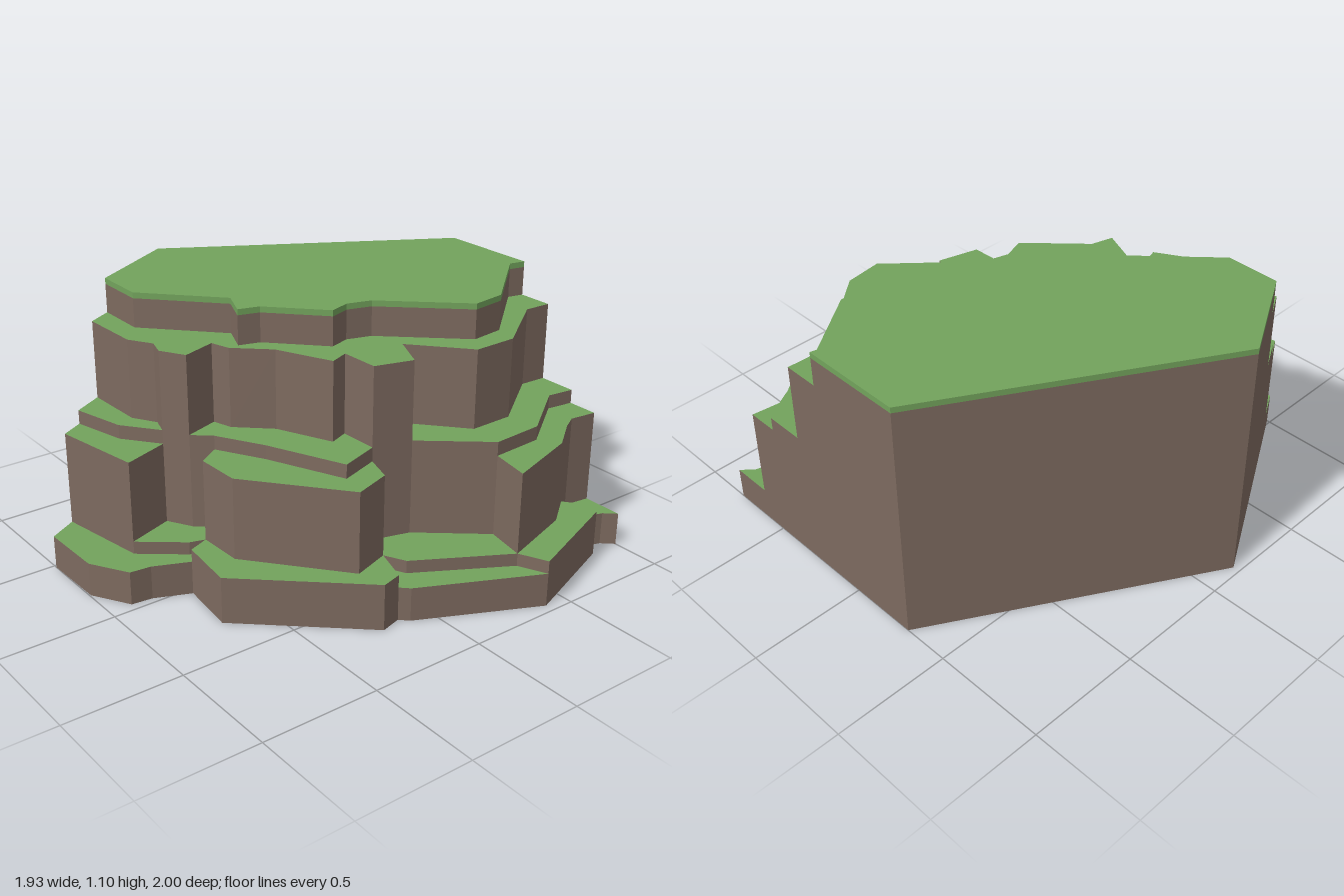
import * as THREE from 'three';

const rock = new THREE.MeshStandardMaterial({ color: 0x7d6a5f, flatShading: true, side: THREE.DoubleSide });
const grass = new THREE.MeshStandardMaterial({ color: 0x72a35c, flatShading: true, side: THREE.DoubleSide });

// Straight outer sides shared by all terraces
const backCorners = [[-0.3, -1], [-0.97, 0.155]];

// Points (x, z) where neighbouring terraces meet
const leftBlock = [-0.16, 0.81];
const gullyLeft = [[-0.23, 0.61], [-0.125, 0.55]];
const gullyFoot = [-0.06, 0.475];
const notch = [0, 0.57];
const buttress = [[0.035, 0.66], [0.29, 0.69], [0.71, 0.225], [0.685, 0.135]];
const bay = [0.53, 0.085];
const gullyRight = [[0.405, 0.045], [0.45, -0.12]];
const spurRoot = [0.665, -0.38];
const spurTip = [0.84, -0.345];
const spur = [[0.96, -0.4], [0.785, -0.86], [0.72, -0.88]];
const backNotch = [[0.63, -0.81], [0.59, -0.88]];

// An edge starts on the sloping left side at x = left and ends on the back side at x = back
const edgeLine = (left, points, back) => [[left, 0.155 + (left + 0.97) * 1.742], ...points, [back, -1]];

// Terrace edges from the bottom up, each with the height of its top
const base = edgeLine(-0.485, [[-0.2, 0.995], [-0.04, 0.9], [-0.03, 0.81], ...buttress, [0.72, 0.1], ...spur,
  [0.74, -0.95]], 0.785);
const step = edgeLine(-0.555, [leftBlock, [-0.02, 0.635], notch, ...buttress, bay, [0.62, 0.04], spurTip, ...spur,
  ...backNotch], 0.605);
const lowerCliff = edgeLine(-0.555, [leftBlock, ...gullyLeft, gullyFoot, notch, [0.2, 0.565], [0.585, 0.25], bay,
  ...gullyRight, spurRoot, spurTip, [0.735, -0.67], ...backNotch], 0.605);
const shelf = edgeLine(-0.61, [[-0.38, 0.725], ...gullyLeft, gullyFoot, [0.135, 0.365], [0.465, 0.22],
  ...gullyRight, spurRoot, [0.65, -0.61], [0.455, -0.88]], 0.47);
const upperCliff = edgeLine(-0.685, [[-0.41, 0.645], [-0.31, 0.585], ...gullyLeft, [-0.175, 0.4], [-0.09, 0.375],
  [0.035, 0.24], [0.27, 0.135], [0.235, 0.05], ...gullyRight, [0.29, -0.195], [0.515, -0.39], [0.51, -0.585],
  [0.295, -0.88]], 0.3);
const crown = edgeLine(-0.745, [[-0.515, 0.55], [-0.22, 0.275], [-0.09, 0.33], [-0.065, 0.24], [0.145, 0.04],
  [0.115, -0.05], [0.145, -0.155], [0.425, -0.46], [0.405, -0.61], [0.13, -0.93]], 0.145);
const terraces = [
  { name: 'base', edge: base, top: 0.145 },
  { name: 'step', edge: step, top: 0.2 },
  { name: 'lowerCliff', edge: lowerCliff, top: 0.55 },
  { name: 'shelf', edge: shelf, top: 0.61 },
  { name: 'upperCliff', edge: upperCliff, top: 0.95 },
  { name: 'crown', edge: crown, top: 1.075 },
];

// Vertical wall around a closed outline
function wall(edge, y0, y1) {
  const ring = [...edge, ...backCorners];
  const pos = [];
  ring.forEach(([ax, az], i) => {
    const [bx, bz] = ring[(i + 1) % ring.length];
    pos.push(ax, y0, az, bx, y0, bz, bx, y1, bz, ax, y0, az, bx, y1, bz, ax, y1, az);
  });
  const g = new THREE.BufferGeometry();
  g.setAttribute('position', new THREE.Float32BufferAttribute(pos, 3));
  g.computeVertexNormals();
  return g;
}

// Flat upward-facing polygon at height y
function flat(points, y) {
  const shape = new THREE.Shape(points.map(([x, z]) => new THREE.Vector2(x, -z)));
  return new THREE.ShapeGeometry(shape).rotateX(-Math.PI / 2).translate(0, y, 0);
}

// Ledges between two edges, split wherever the edges touch
function ledges(outer, inner) {
  const pockets = [];
  let o0 = 0, i0 = 0;
  const close = (o1, i1) => {
    const loop = [...outer.slice(o0, o1 + 1), ...inner.slice(i0, i1 + 1).reverse()];
    const unique = [...new Map(loop.map((p) => [p.join(), p])).values()];
    if (unique.length > 2) pockets.push(unique);
    o0 = o1;
    i0 = i1;
  };
  outer.forEach((p, o) => {
    const i = inner.findIndex((q) => q[0] === p[0] && q[1] === p[1]);
    if (i >= 0) close(o, i);
  });
  close(outer.length - 1, inner.length - 1);
  return pockets;
}

export function createModel() {
  const model = new THREE.Group();
  model.name = 'terracedCliff';
  const add = (name, geometry, material) => {
    const mesh = new THREE.Mesh(geometry, material);
    mesh.name = name;
    model.add(mesh);
  };

  // Rock walls with grassy ledges
  let bottom = 0;
  terraces.forEach(({ name, edge, top }, k) => {
    add(`${name}Wall`, wall(edge, bottom, top), rock);
    const next = terraces[k + 1];
    if (next) ledges(edge, next.edge).forEach((p, n) => add(`${name}Ledge${n + 1}`, flat(p, top), grass));
    bottom = top;
  });

  // Grass rim and plateau
  add('grassRim', wall(crown, bottom, 1.1), grass);
  add('grassPlateau', flat([...crown, ...backCorners], 1.1), grass);
  return model;
}
